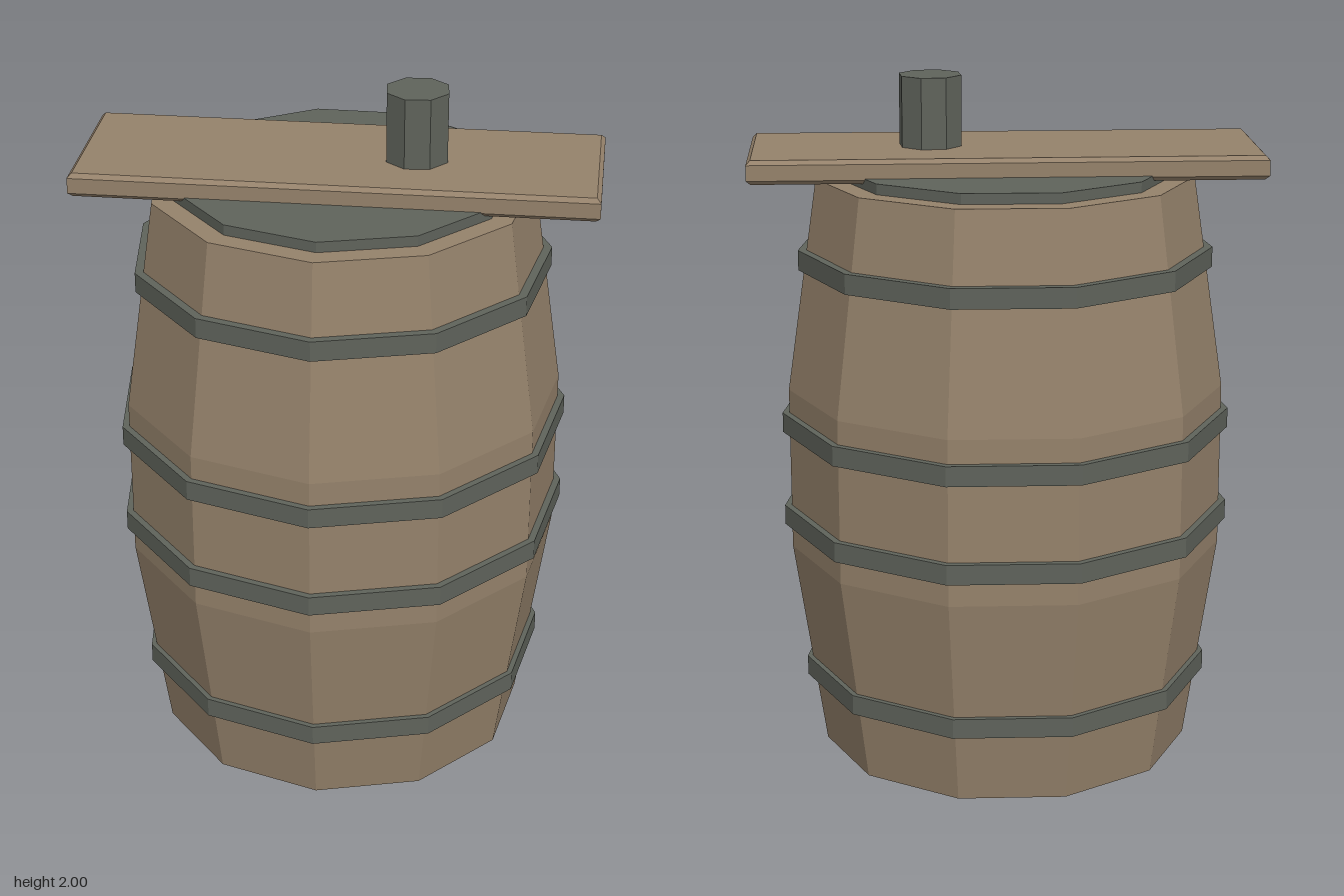
import * as THREE from 'three';

const SIDES = 11;
const CENTRE_Z = 0.011;

const wood = new THREE.MeshStandardMaterial({ color: 0x95826b });
wood.name = 'wood';
const iron = new THREE.MeshStandardMaterial({ color: 0x5f635b });
iron.name = 'iron';

// Faceted mesh: every face gets its own flat normal
function addPart(parent, name, geometry, material) {
  const flat = geometry.index ? geometry.toNonIndexed() : geometry;
  flat.computeVertexNormals();
  const mesh = new THREE.Mesh(flat, material);
  mesh.name = name;
  parent.add(mesh);
  return mesh;
}

// Upright prism between two heights, with one corner pointing to the back
function prism(radius, bottom, top, sides) {
  const geometry = new THREE.CylinderGeometry(radius, radius, top - bottom, sides, 1, false, Math.PI);
  return geometry.translate(0, (bottom + top) / 2, 0);
}

// Flat board with narrow chamfers on all edges
function board(length, height, width, chamfer) {
  const x = length / 2 - chamfer;
  const y = width / 2 - chamfer;
  const shape = new THREE.Shape([
    new THREE.Vector2(-x, -y), new THREE.Vector2(x, -y),
    new THREE.Vector2(x, y), new THREE.Vector2(-x, y),
  ]);
  const geometry = new THREE.ExtrudeGeometry(shape, {
    depth: height - 2 * chamfer, bevelEnabled: true,
    bevelSize: chamfer, bevelThickness: chamfer, bevelSegments: 1,
  });
  return geometry.center().rotateX(-Math.PI / 2);
}

export function createModel() {
  const model = new THREE.Group();
  model.name = 'barrel';

  const keg = new THREE.Group();
  keg.name = 'keg';
  keg.position.z = CENTRE_Z;
  model.add(keg);

  // Bulging wooden body, closed at both ends
  const profile = [[0, 0], [0.545, 0], [0.636, 0.62], [0.636, 1.1], [0.545, 1.715], [0, 1.715]]
    .map(([r, y]) => new THREE.Vector2(r, y));
  addPart(keg, 'body', new THREE.LatheGeometry(profile, SIDES, Math.PI), wood);

  // Iron hoops: radius, bottom, top
  const hoops = [[0.6, 0.21, 0.268], [0.656, 0.69, 0.748], [0.656, 0.973, 1.031], [0.6, 1.453, 1.511]];
  hoops.forEach(([r, bottom, top], i) => addPart(keg, `hoop${i + 1}`, prism(r, bottom, top, SIDES), iron));

  // Iron lid
  addPart(keg, 'lid', prism(0.482, 1.7, 1.745, SIDES), iron);

  // Plank laid askew across the top
  const plank = addPart(model, 'plank', board(1.457, 0.068, 0.476, 0.012), wood);
  plank.position.set(0, 1.764, CENTRE_Z);
  plank.rotation.y = 0.303;

  // Octagonal iron plug standing on the plank
  const plug = addPart(model, 'plug', prism(0.092, 1.74, 2, 8), iron);
  plug.position.set(0.203, 0, -0.05);

  return model;
}
